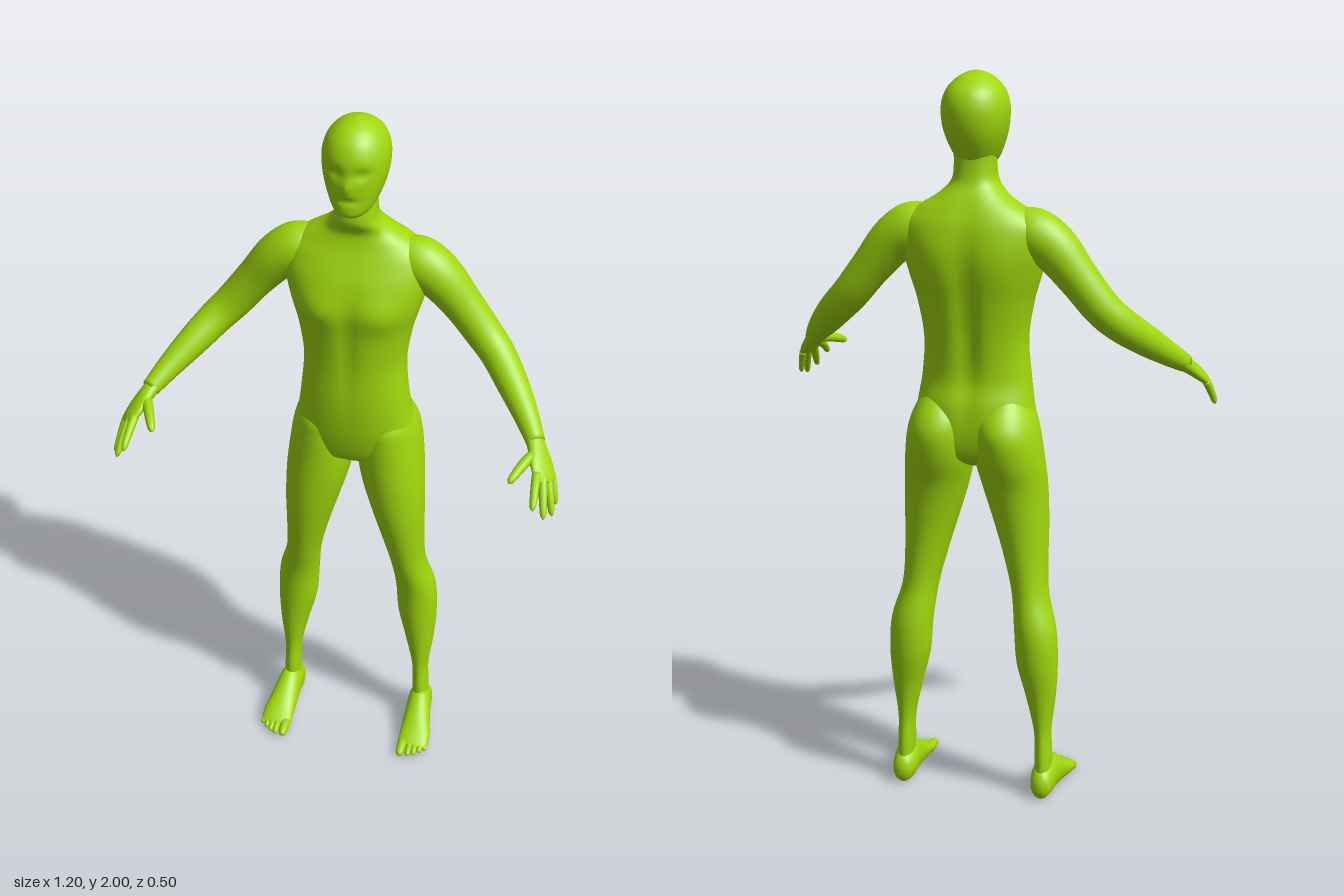
import * as THREE from 'three';

const X = new THREE.Vector3(1, 0, 0), Y = new THREE.Vector3(0, 1, 0), Z = new THREE.Vector3(0, 0, 1);

const cubic = (p0, p1, p2, p3, t) =>
  p1 + 0.5 * t * (p2 - p0 + t * (2 * p0 - 5 * p1 + 4 * p2 - p3 + t * (3 * (p1 - p2) + p3 - p0)));

// Smooth skin through sections [x, y, z, half-width along u, half-width across].
// dir fixes the ring plane; without it the rings follow the path.
function loft(sections, { u = X, dir = null, power = 2, seg = 32, steps = 5, side = 1, shape = null } = {}) {
  const n = sections.length, rings = [];
  for (let i = 0; i < n - 1; i++) {
    for (let s = 0; s < steps || (i === n - 2 && s === steps); s++) {
      const p = [i - 1, i, i + 1, i + 2].map(k => sections[Math.min(n - 1, Math.max(0, k))]);
      rings.push(p[0].map((_, k) => cubic(p[0][k], p[1][k], p[2][k], p[3][k], s / steps)));
    }
  }
  const pos = [], index = [], v = new THREE.Vector3();
  const centre = r => new THREE.Vector3(r[0], r[1], r[2]);
  const put = p => { if (shape) shape(p); pos.push(p.x * side, p.y, p.z); };
  const tri = (a, b, c) => (side > 0 ? index.push(a, b, c) : index.push(a, c, b));
  const bend = c => Math.sign(c) * Math.pow(Math.abs(c), 2 / power);
  rings.forEach((r, i) => {
    const T = dir ? dir.clone() : centre(rings[Math.min(i + 1, rings.length - 1)])
      .sub(centre(rings[Math.max(i - 1, 0)])).normalize();
    const U = u.clone().addScaledVector(T, -u.dot(T)).normalize();
    const W = new THREE.Vector3().crossVectors(T, U);
    for (let j = 0; j < seg; j++) {
      const a = j / seg * Math.PI * 2;
      v.copy(centre(r)).addScaledVector(U, bend(Math.cos(a)) * Math.max(r[3], 0.001))
        .addScaledVector(W, bend(Math.sin(a)) * Math.max(r[4], 0.001));
      put(v);
      if (i < rings.length - 1) {
        const k = i * seg + j, l = i * seg + (j + 1) % seg;
        tri(k, l, l + seg);
        tri(k, l + seg, k + seg);
      }
    }
  });
  // end caps
  const last = (rings.length - 1) * seg, c = rings.length * seg;
  put(centre(rings[0]));
  put(centre(rings[rings.length - 1]));
  for (let j = 0; j < seg; j++) {
    const k = (j + 1) % seg;
    tri(c, k, j);
    tri(c + 1, last + j, last + k);
  }
  const g = new THREE.BufferGeometry();
  g.setAttribute('position', new THREE.Float32BufferAttribute(pos, 3));
  g.setIndex(index);
  g.computeVertexNormals();
  return g;
}

// Upright section from its height and left, right, front and back limits
const level = (y, x0, x1, f, b) => [(x0 + x1) / 2, y, (f + b) / 2, (x1 - x0) / 2, (f - b) / 2];
const bump = (d, w) => Math.exp(-(d * d) / (w * w));

// Finger or toe from base to tip, arched by lift
function digit(base, tip, r, lift, side, shape) {
  const rows = [[0, 1], [0.35, 1], [0.7, 0.88], [0.92, 0.65], [1, 0.05]].map(([t, k]) => {
    const p = base.map((b, i) => b + (tip[i] - b) * t);
    return [p[0], p[1] + lift * Math.sin(t * Math.PI), p[2], r * k, r * k];
  });
  return loft(rows, { seg: 12, steps: 3, side, shape });
}

export function createModel() {
  const model = new THREE.Group();
  model.name = 'figure';
  const skin = new THREE.MeshStandardMaterial({ color: 0xa0d80c });
  skin.name = 'lime green';
  const add = (name, geometry, parent = model) => {
    const m = new THREE.Mesh(geometry, skin);
    m.name = name;
    parent.add(m);
  };

  // Torso with neck: chest, navel line and spine groove
  const torso = [
    [0.955, 0.03, -0.09, -0.16], [0.975, 0.09, -0.06, -0.195], [1.0, 0.145, -0.035, -0.215],
    [1.06, 0.168, -0.02, -0.225], [1.13, 0.157, -0.012, -0.222], [1.2, 0.147, -0.01, -0.207],
    [1.3, 0.14, -0.012, -0.214], [1.4, 0.155, -0.008, -0.229], [1.48, 0.178, -0.006, -0.241],
    [1.55, 0.195, -0.022, -0.244], [1.61, 0.19, -0.05, -0.236], [1.65, 0.15, -0.068, -0.222],
    [1.685, 0.095, -0.074, -0.205], [1.72, 0.062, -0.058, -0.186], [1.76, 0.055, -0.06, -0.18],
    [1.8, 0.055, -0.07, -0.18],
  ].map(([y, a, f, b]) => level(y, -a, a, f, b));
  add('torso', loft(torso, {
    dir: Y, power: 2.25, seg: 64, steps: 6,
    shape: p => {
      const ax = Math.abs(p.x);
      if (p.z > -0.09) {
        p.z += 0.012 * bump(ax - 0.085, 0.055) * bump(p.y - 1.475, 0.05);
        p.z -= 0.007 * bump(ax, 0.02) * bump(p.y - 1.38, 0.16);
      } else if (p.z < -0.15) {
        p.z += 0.016 * bump(ax, 0.028) * bump(p.y - 1.35, 0.24);
        p.z -= 0.006 * bump(ax - 0.09, 0.05) * bump(p.y - 1.52, 0.08);
      }
    },
  }));

  // Head: eye sockets, nose and mouth
  const head = [
    [1.755, 0.03, -0.035, -0.14], [1.77, 0.05, -0.012, -0.17], [1.8, 0.066, -0.009, -0.192],
    [1.84, 0.08, -0.01, -0.212], [1.88, 0.087, -0.011, -0.222], [1.92, 0.086, -0.015, -0.222],
    [1.955, 0.073, -0.03, -0.208], [1.98, 0.05, -0.055, -0.178], [1.994, 0.026, -0.085, -0.145],
    [2.0, 0.003, -0.11, -0.116],
  ].map(([y, a, f, b]) => level(y, -a, a, f, b));
  add('head', loft(head, {
    dir: Y, power: 2.1, seg: 64, steps: 6,
    shape: p => {
      if (p.z < -0.09) return;
      const ax = Math.abs(p.x);
      p.z -= 0.009 * bump(ax - 0.034, 0.02) * bump(p.y - 1.885, 0.016);
      p.z += 0.008 * bump(ax, 0.012) * bump(p.y - 1.85, 0.02);
      p.z -= 0.006 * bump(ax, 0.03) * bump(p.y - 1.812, 0.008);
    },
  }));

  const legLevels = [
    [0.05, 0.178, 0.222, -0.1, -0.18], [0.12, 0.175, 0.222, -0.1, -0.18], [0.2, 0.172, 0.22, -0.105, -0.178],
    [0.3, 0.15, 0.232, -0.1, -0.19], [0.4, 0.125, 0.238, -0.095, -0.207], [0.5, 0.117, 0.232, -0.088, -0.21],
    [0.6, 0.105, 0.205, -0.066, -0.192], [0.7, 0.08, 0.2, -0.045, -0.19], [0.8, 0.05, 0.2, -0.03, -0.197],
    [0.9, 0.02, 0.197, -0.025, -0.212], [0.98, 0.004, 0.19, -0.025, -0.24], [1.05, 0.004, 0.18, -0.026, -0.252],
    [1.1, 0.01, 0.166, -0.03, -0.236], [1.15, 0.04, 0.14, -0.06, -0.195],
  ].map(r => level(...r));
  const footRows = [
    [0.2, 0.04, -0.196, 0.008, 0.012], [0.2, 0.042, -0.184, 0.026, 0.036], [0.2, 0.05, -0.15, 0.034, 0.05],
    [0.202, 0.055, -0.11, 0.036, 0.055], [0.206, 0.042, -0.06, 0.04, 0.042], [0.211, 0.027, -0.01, 0.045, 0.027],
    [0.211, 0.018, 0.025, 0.044, 0.017], [0.211, 0.016, 0.04, 0.034, 0.008],
  ];
  const toes = [ // x, tip z, radius
    [0.181, 0.078, 0.014], [0.204, 0.074, 0.01], [0.22, 0.066, 0.0095], [0.235, 0.054, 0.009], [0.248, 0.04, 0.0085],
  ];
  const armRows = [
    [0.09, 1.605, -0.145, 0.04, 0.045], [0.155, 1.592, -0.142, 0.064, 0.068], [0.215, 1.556, -0.14, 0.064, 0.064],
    [0.28, 1.48, -0.14, 0.054, 0.054], [0.34, 1.405, -0.132, 0.05, 0.05], [0.387, 1.357, -0.108, 0.047, 0.047],
    [0.44, 1.305, -0.05, 0.042, 0.042], [0.49, 1.255, 0.015, 0.033, 0.033], [0.525, 1.218, 0.07, 0.025, 0.025],
  ];
  const palmRows = [
    [0.512, 1.231, 0.048, 0.025, 0.023], [0.53, 1.21, 0.08, 0.029, 0.02], [0.547, 1.188, 0.112, 0.038, 0.017],
    [0.562, 1.166, 0.142, 0.038, 0.013], [0.57, 1.156, 0.156, 0.026, 0.006],
  ];
  const fingers = [ // name, base, tip, radius
    ['indexFinger', [0.543, 1.18, 0.155], [0.55, 1.127, 0.245], 0.0115],
    ['middleFinger', [0.558, 1.17, 0.147], [0.577, 1.09, 0.226], 0.0115],
    ['ringFinger', [0.57, 1.162, 0.134], [0.594, 1.076, 0.188], 0.011],
    ['littleFinger', [0.578, 1.157, 0.115], [0.598, 1.087, 0.15], 0.0095],
    ['thumb', [0.527, 1.205, 0.1], [0.479, 1.175, 0.207], 0.014],
  ];
  const floor = p => { p.y = Math.max(p.y, 0.002); };

  for (const side of [1, -1]) {
    const tag = side > 0 ? 'left' : 'right';
    const leg = new THREE.Group(), arm = new THREE.Group();
    leg.name = tag + 'Leg';
    arm.name = tag + 'Arm';
    model.add(leg, arm);

    // Leg, foot and toes
    add(tag + 'LegShape', loft(legLevels, { dir: Y, seg: 40, side }), leg);
    add(tag + 'Foot', loft(footRows, { dir: Z, side, shape: floor }), leg);
    toes.forEach(([x, z, r], i) =>
      add(`${tag}Toe${i + 1}`, digit([x, 0.016, 0.012], [x, 0.01, z], r, 0.004, side, floor), leg));

    // Arm, palm and fingers
    add(tag + 'ArmShape', loft(armRows, { u: Z, side }), arm);
    add(tag + 'Palm', loft(palmRows, { u: new THREE.Vector3(0.04, -0.025, -0.045), side }), arm);
    for (const [name, base, tip, r] of fingers)
      add(`${tag}_${name}`, digit(base, tip, r, 0.006, side), arm);
  }
  return model;
}
